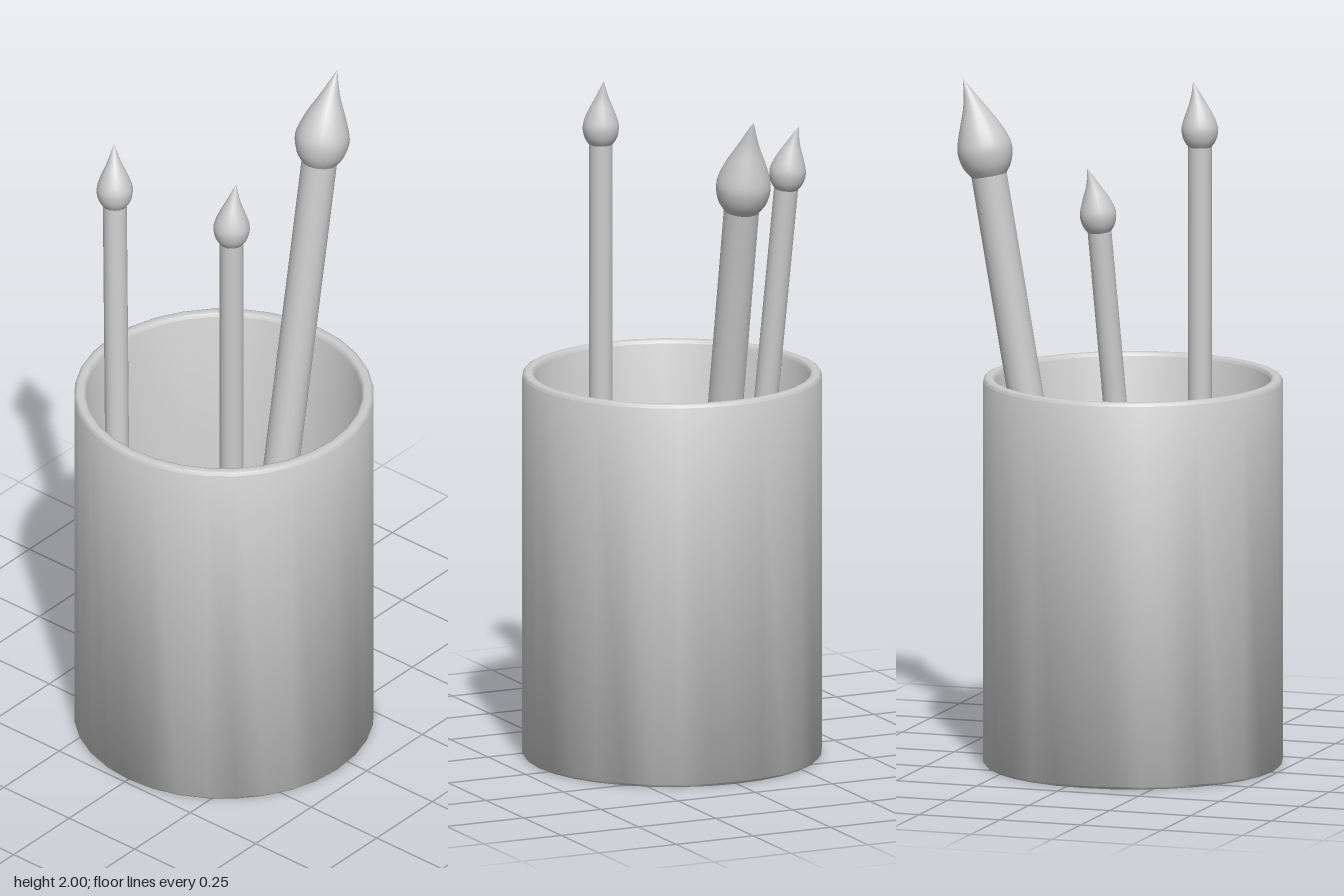
import * as THREE from 'three';
import { mergeVertices, toCreasedNormals } from 'three/addons/utils/BufferGeometryUtils.js';

const material = new THREE.MeshStandardMaterial({ color: 0xcccccc });
const points = (list) => list.map(([x, y]) => new THREE.Vector2(x, y));

function mesh(name, geometry) {
  const m = new THREE.Mesh(geometry, material);
  m.name = name;
  return m;
}

// Flame-shaped bristle head of unit length, its tip bent towards -z
function bristleGeometry() {
  const outline = new THREE.SplineCurve(points([
    [0.18, 0], [0.245, 0.1], [0.277, 0.24], [0.26, 0.36],
    [0.195, 0.53], [0.115, 0.7], [0.055, 0.85], [0, 1],
  ])).getPoints(20);
  outline[outline.length - 1].x = 0;
  let geometry = new THREE.LatheGeometry(outline, 20);
  const p = geometry.attributes.position;
  for (let i = 0; i < p.count; i++) {
    const t = Math.max(0, p.getY(i) - 0.3) / 0.7;
    p.setZ(i, p.getZ(i) - 0.11 * t * t);
  }
  geometry.deleteAttribute('uv');
  geometry.deleteAttribute('normal');
  geometry = mergeVertices(geometry, 1e-4);
  geometry.computeVertexNormals();
  return geometry;
}

// A brush stands on its base point and leans towards its own -z
function brush(name, { base, radius, length, head, tilt = 0, yaw = 0 }) {
  const group = new THREE.Group();
  group.name = name;
  const handle = mesh('handle', new THREE.CylinderGeometry(radius, radius, length, 20));
  handle.position.y = length / 2;
  const bristles = mesh('bristles', bristleGeometry());
  bristles.scale.setScalar(head);
  bristles.position.y = length;
  group.add(handle, bristles);
  group.position.set(...base);
  group.rotation.set(-tilt, yaw, 0, 'YXZ');
  return group;
}

export function createModel() {
  const model = new THREE.Group();
  model.name = 'brushPot';

  // Hollow pot with softened rim and foot
  const profile = points([
    [0, 0], [0.43, 0], [0.437, 0.008], [0.437, 1.133], [0.434, 1.14], [0.427, 1.143],
    [0.412, 1.143], [0.405, 1.14], [0.402, 1.133], [0.402, 0.04], [0, 0.04],
  ]);
  const pot = mesh('pot', toCreasedNormals(new THREE.LatheGeometry(profile, 32), 0.9));
  pot.position.z = 0.053;
  model.add(pot);

  // Three brushes: one large at the back, two small at the front
  model.add(
    brush('largeBrush', { base: [-0.01, 0.02, -0.09], radius: 0.052, length: 1.722, head: 0.29, tilt: 0.174 }),
    brush('rightBrush', { base: [-0.275, 0.02, 0.2], radius: 0.035, length: 1.63, head: 0.193, tilt: 0.097, yaw: Math.PI / 4 }),
    brush('leftBrush', { base: [0.157, 0.02, 0.204], radius: 0.035, length: 1.787, head: 0.193 }),
  );
  return model;
}
